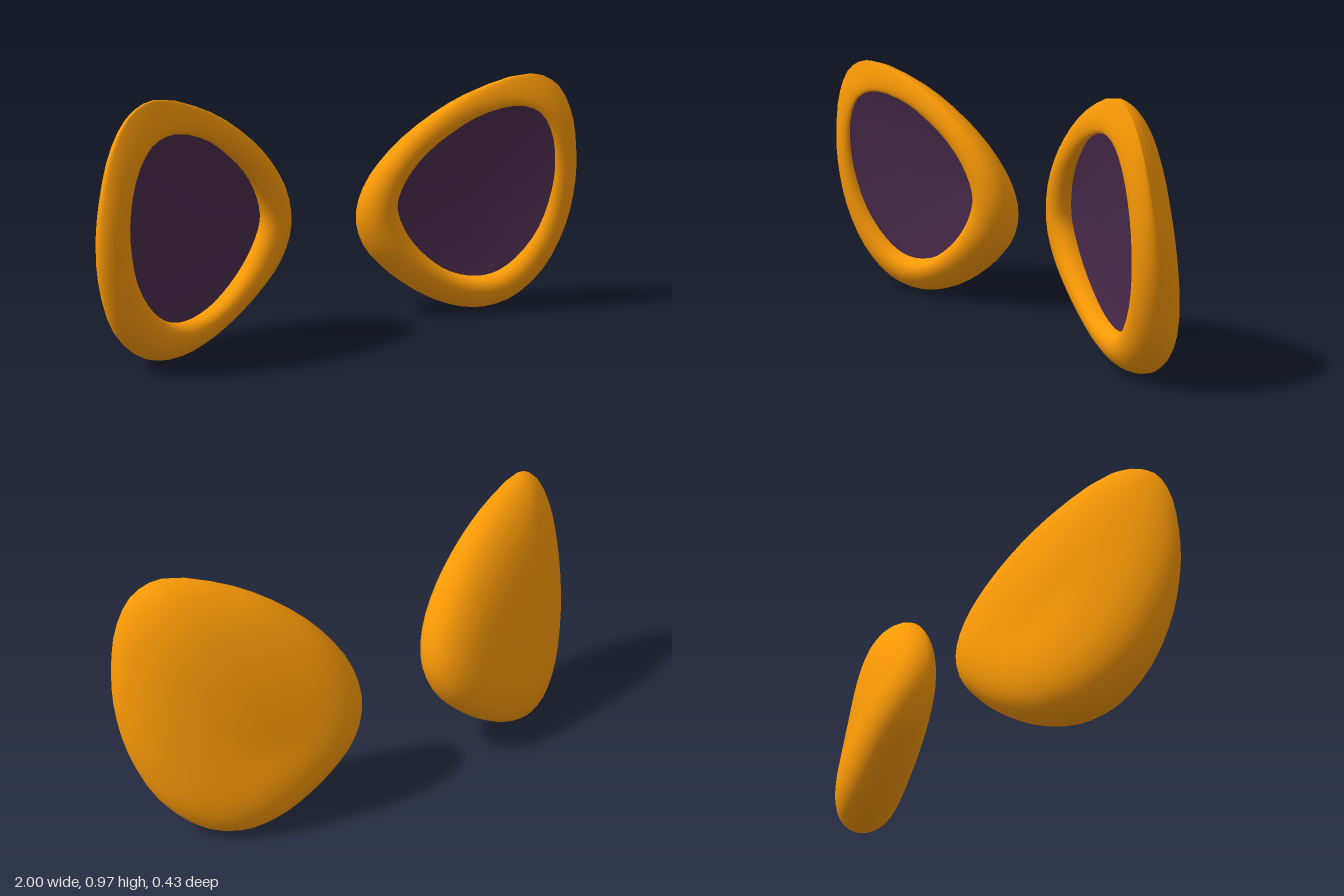
import * as THREE from 'three';
import { mergeVertices } from 'three/addons/utils/BufferGeometryUtils.js';

const SEG = 48;

// Matching points round the ear: outer outline x, y, then inner rim edge x, y
const OUTLINE = [
  [0.78, 0.972, 0.71, 0.85], [0.88, 0.93, 0.80, 0.825], [0.95, 0.82, 0.86, 0.74],
  [0.99, 0.65, 0.89, 0.60], [1.00, 0.50, 0.885, 0.47], [0.98, 0.33, 0.85, 0.33],
  [0.915, 0.155, 0.78, 0.22], [0.80, 0.035, 0.71, 0.165], [0.68, 0.001, 0.63, 0.15],
  [0.56, 0.022, 0.53, 0.175], [0.43, 0.085, 0.44, 0.235], [0.295, 0.185, 0.36, 0.32],
  [0.197, 0.295, 0.31, 0.41], [0.156, 0.42, 0.295, 0.48], [0.18, 0.555, 0.325, 0.575],
  [0.265, 0.69, 0.39, 0.67], [0.40, 0.815, 0.48, 0.75], [0.57, 0.915, 0.57, 0.81],
];

function closedLoop(col) {
  const curve = new THREE.CatmullRomCurve3(
    OUTLINE.map((p) => new THREE.Vector3(p[col], p[col + 1], 0)), true);
  return Array.from({ length: SEG }, (_, i) => curve.getPoint(i / SEG));
}

// Tilt of the outline (slightly bent back at top and bottom) and of the inner rim edge
const outerZ = (p) => 0.284 * p.x + 0.183 * p.y - 0.2145 - 0.1 * (p.y - 0.48) ** 2;
const innerZ = (p) => 0.364 * p.x + 0.15 * p.y - 0.232;

const outer = closedLoop(0);
const inner = closedLoop(2);
outer.forEach((p) => { p.z = outerZ(p); });
inner.forEach((p) => { p.z = innerZ(p); });

// Lowest point of the dome and middle of the dish
const backCentre = new THREE.Vector3(0.55, 0.34, 0);
backCentre.z = outerZ(backCentre);
const dishCentre = new THREE.Vector3(0.6, 0.48, 0);
dishCentre.z = innerZ(dishCentre);

// A ring of points between a loop (or centre) and another loop, raised by lift(point)
function ring(from, to, k, lift) {
  return to.map((target, i) => {
    const p = (from.isVector3 ? from : from[i]).clone().lerp(target, k);
    p.z += lift(p);
    return p;
  });
}

// Skin the rings; side = 1 for the left ear, -1 for its mirror image
function loft(rings, side) {
  const pos = [], index = [];
  for (const r of rings) for (const p of r) pos.push(p.x * side, p.y, p.z);
  for (let j = 0; j < rings.length - 1; j++) {
    for (let i = 0; i < SEG; i++) {
      const a = j * SEG + i, b = j * SEG + (i + 1) % SEG;
      const c = a + SEG, d = b + SEG;
      if (side > 0) index.push(a, c, b, b, c, d);
      else index.push(a, b, c, b, d, c);
    }
  }
  const raw = new THREE.BufferGeometry();
  raw.setAttribute('position', new THREE.Float32BufferAttribute(pos, 3));
  raw.setIndex(index);
  const geo = mergeVertices(raw, 1e-5);
  geo.computeVertexNormals();
  return geo;
}

function makeEar(side) {
  const ear = new THREE.Group();
  ear.name = side > 0 ? 'leftEar' : 'rightEar';

  // Domed back, then the rounded rim rolling over to the inner edge
  const shell = [];
  for (let j = 0; j <= 16; j++) {
    const s = Math.sin((j / 16) * Math.PI / 2);
    const depth = 0.178 * Math.sqrt(1 - s ** 3);
    shell.push(ring(backCentre, outer, s, () => -depth));
  }
  for (let j = 1; j <= 14; j++) {
    const a = (j / 14) * Math.PI;
    shell.push(ring(outer, inner, (1 - Math.cos(a)) / 2,
      (p) => (0.12 - 0.04 * p.x - 0.086 * p.y) * Math.sin(a)));
  }
  const shellMesh = new THREE.Mesh(loft(shell, side),
    new THREE.MeshStandardMaterial({ color: 0xfb9a06 }));
  shellMesh.name = 'earShell';

  // Shallow dished inside of the ear
  const dish = [];
  for (let j = 0; j <= 8; j++) {
    const k = 1 - j / 8;
    dish.push(ring(dishCentre, inner, k, () => -0.03 * (1 - k * k)));
  }
  const dishMesh = new THREE.Mesh(loft(dish, side),
    new THREE.MeshStandardMaterial({ color: 0x4a2b4c }));
  dishMesh.name = 'innerEar';

  ear.add(shellMesh, dishMesh);
  return ear;
}

export function createModel() {
  const model = new THREE.Group();
  model.name = 'ears';
  model.add(makeEar(1), makeEar(-1));
  return model;
}
